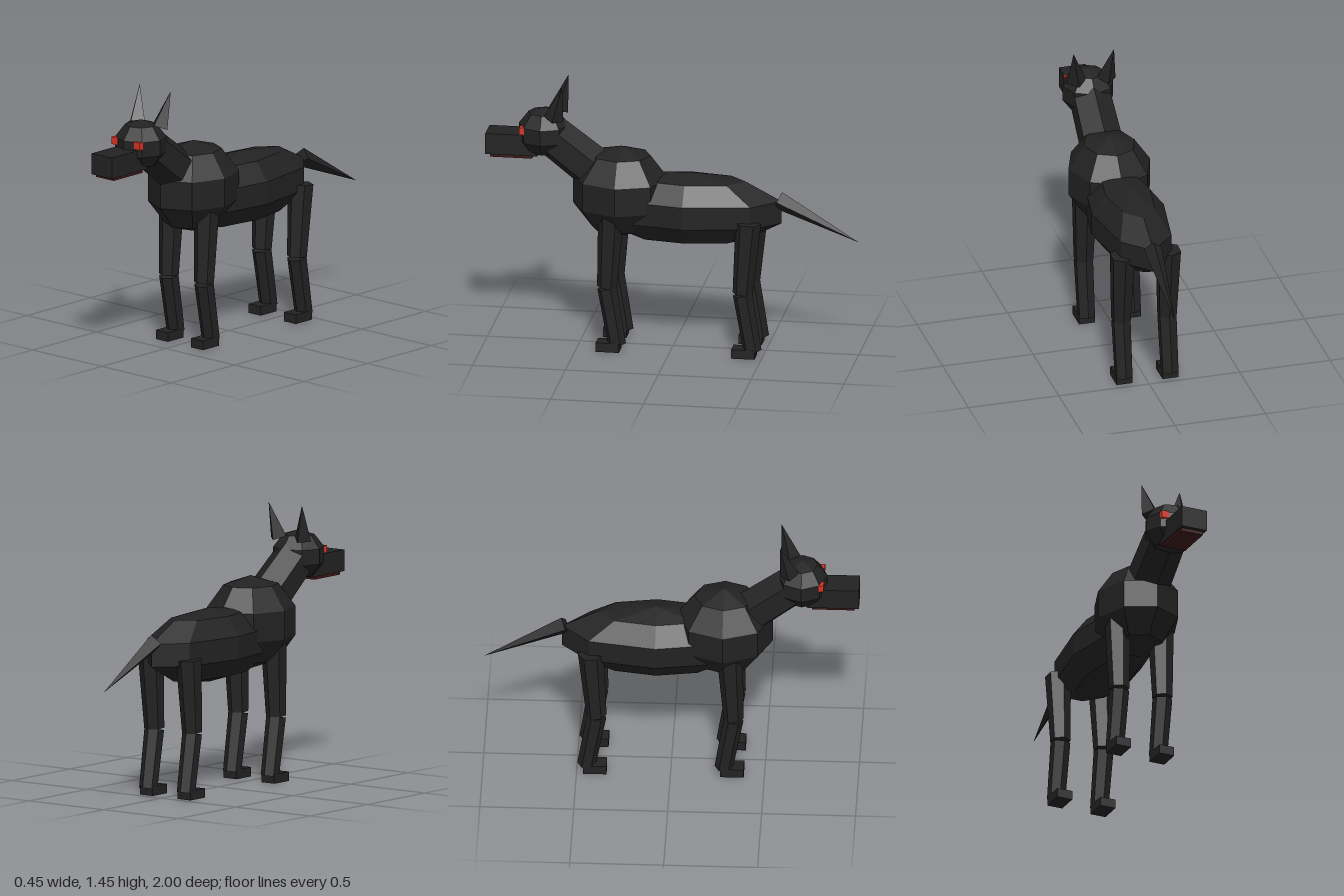
import * as THREE from 'three';

export function createModel() {
  const model = new THREE.Group();
  model.name = 'hound';

  const flat = (name, color) => {
    const m = new THREE.MeshStandardMaterial({ color, flatShading: true });
    m.name = name;
    return m;
  };
  const fur = flat('black fur', 0x222222);
  const red = flat('eye red', 0xd83424);
  const maroon = flat('mouth maroon', 0x3c1616);

  const add = (name, geometry, material, x = 0, y = 0, z = 0) => {
    const mesh = new THREE.Mesh(geometry, material);
    mesh.name = name;
    mesh.position.set(x, y, z);
    model.add(mesh);
    return mesh;
  };
  // Faceted ellipsoid with a flat band around its middle
  const blob = (name, pos, radii) =>
    add(name, new THREE.SphereGeometry(1, 8, 5).scale(...radii), fur, ...pos);
  const box = (name, size, pos, material = fur) =>
    add(name, new THREE.BoxGeometry(...size), material, ...pos);
  // Tapered prism running from one point to another
  const limb = (name, from, to, r0, r1, sides) => {
    const a = new THREE.Vector3(...from), b = new THREE.Vector3(...to);
    const dir = b.clone().sub(a);
    const geometry = r1 > 0
      ? new THREE.CylinderGeometry(r1, r0, dir.length(), sides)
      : new THREE.ConeGeometry(r0, dir.length(), sides);
    const mesh = add(name, geometry, fur);
    mesh.position.copy(a).add(b).multiplyScalar(0.5);
    mesh.quaternion.setFromUnitVectors(new THREE.Vector3(0, 1, 0), dir.normalize());
  };

  // Trunk, chest, neck and tail
  blob('body', [0, 0.777, -0.08], [0.21, 0.2, 0.53]);
  blob('chest', [0, 0.855, 0.28], [0.237, 0.25, 0.273]);
  limb('neck', [0, 0.945, 0.39], [0, 1.145, 0.65], 0.122, 0.115, 6);
  limb('tail', [0, 0.845, -0.565], [0, 0.63, -1], 0.05, 0, 4);

  // Head
  blob('head', [0, 1.165, 0.695], [0.147, 0.135, 0.142]);
  box('muzzle', [0.146, 0.115, 0.28], [0, 1.1025, 0.86]);
  box('lowerJaw', [0.126, 0.018, 0.225], [0, 1.037, 0.863], maroon);

  for (const side of [1, -1]) {
    const label = side > 0 ? 'left' : 'right';
    limb(label + 'Ear', [side * 0.082, 1.262, 0.63], [side * 0.112, 1.453, 0.58], 0.053, 0, 4);
    box(label + 'Eye', [0.042, 0.04, 0.026], [side * 0.081, 1.19, 0.8], red);

    // Front and hind legs share one build, shifted along the body
    for (const [pair, knee, hip] of [['Front', 0.335, 0.315], ['Hind', -0.395, -0.425]]) {
      const name = label + pair;
      const x = side * 0.127;
      limb(name + 'UpperLeg', [x, 0.355, knee], [x, 0.75, hip], 0.054, 0.069, 6);
      limb(name + 'LowerLeg', [x, 0.035, knee - 0.053], [x, 0.348, knee], 0.049, 0.053, 6);
      box(name + 'Paw', [0.087, 0.05, 0.125], [x, 0.025, knee - 0.007]);
    }
  }
  return model;
}
